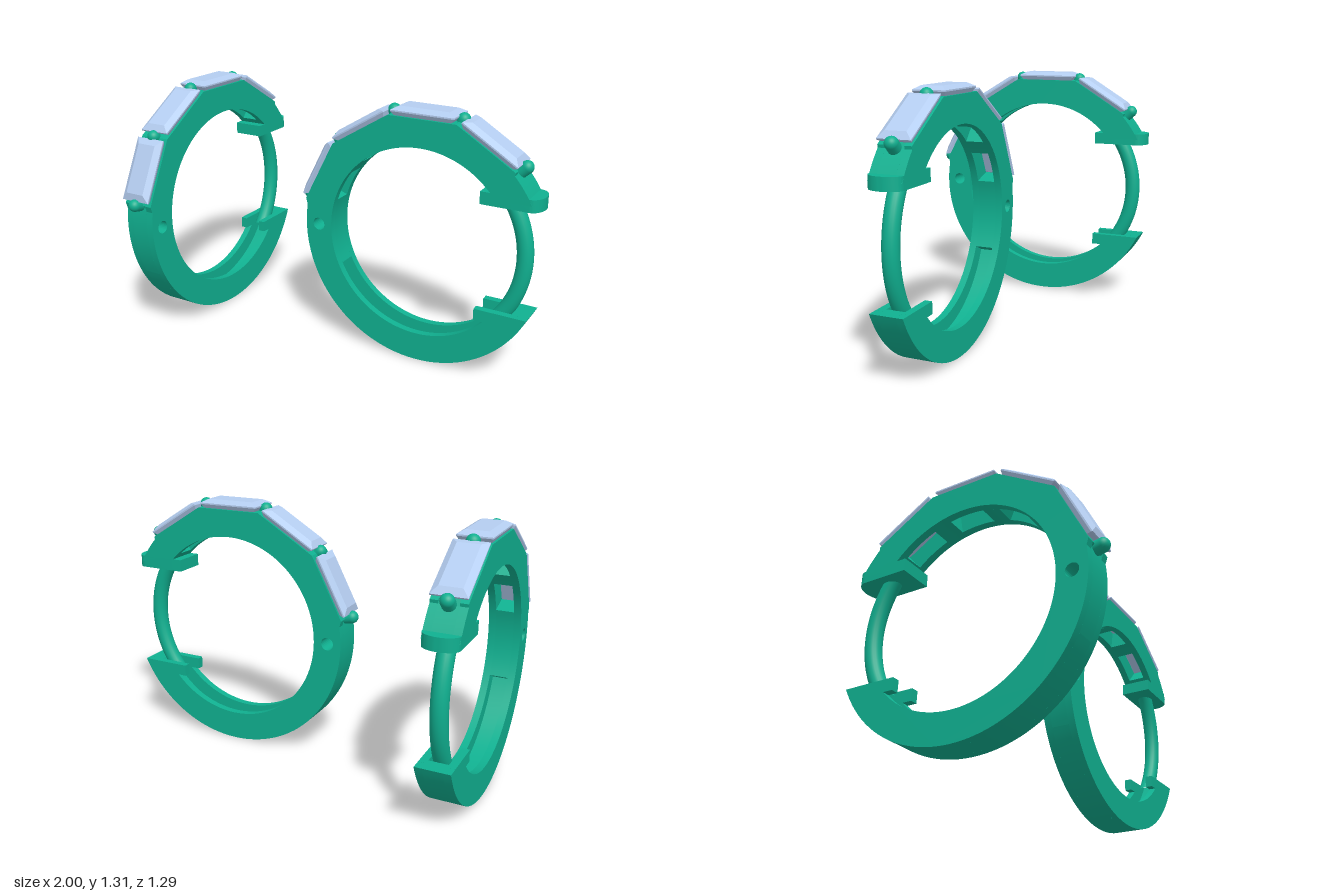
import * as THREE from 'three';
import { toCreasedNormals } from 'three/addons/utils/BufferGeometryUtils.js';
import { ConvexGeometry } from 'three/addons/geometries/ConvexGeometry.js';

const CY = 0.635;            // height of the hoop centre
const RI = 0.487, RO = 0.635; // inner and outer hoop radius
const HALF = 0.0825;         // half the hoop width
const SLOT = 0.046;          // half the width of windows and groove
const STEP = 31.55, GEMS = [0, 1, 2, 3].map(i => 58.1 + i * STEP);
const PRONGS = [0, 1, 2, 3, 4].map(i => 42.3 + i * STEP);
const rad = THREE.MathUtils.degToRad;

const metal = new THREE.MeshStandardMaterial({ color: 0x10b090 });
const stone = new THREE.MeshStandardMaterial({ color: 0xb4cdf0 });

function add(parent, name, geometry, material = metal) {
  const mesh = new THREE.Mesh(geometry, material);
  mesh.name = name;
  parent.add(mesh);
  return mesh;
}

// Outer radius: flats under the stones, round elsewhere
function outer(a) {
  for (const g of GEMS) if (Math.abs(a - g) <= STEP / 2 + 0.01) return 0.625 / Math.cos(rad(a - g));
  return RO;
}

// Part of the hoop between two angles, with its own angles on the inner edge
function arcShape(a0, a1, i0 = a0, i1 = a1, inner = RI) {
  const at = (a, r) => new THREE.Vector2(r * Math.cos(rad(a)), CY + r * Math.sin(rad(a)));
  const stops = (from, to) => {
    const n = Math.ceil((to - from) / 3);
    return Array.from({ length: n + 1 }, (_, i) => from + (to - from) * i / n);
  };
  const out = [...stops(a0, a1), ...PRONGS.filter(p => p > a0 && p < a1)].sort((p, q) => p - q);
  const shape = new THREE.Shape([
    ...out.map(a => at(a, outer(a))),
    ...stops(i0, i1).reverse().map(a => at(a, inner)),
  ]);
  if (a0 < 180 && a1 > 180) {  // hinge pin hole
    shape.holes.push(new THREE.Path().absarc(-0.561, CY, 0.033, 0, Math.PI * 2, true));
  }
  return shape;
}

function slab(shape, z0, z1) {
  const g = new THREE.ExtrudeGeometry(shape, { depth: z1 - z0, bevelEnabled: false, curveSegments: 14 });
  return toCreasedNormals(g.translate(0, 0, z0), 0.2);
}

function box(x0, x1, y0, y1, z0, z1) {
  return new THREE.BoxGeometry(x1 - x0, y1 - y0, z1 - z0)
    .translate((x0 + x1) / 2, (y0 + y1) / 2, (z0 + z1) / 2);
}

// Step-cut stone: height, half length, half width of each level
function gemGeometry() {
  const points = [];
  for (const [y, l, w] of [[0.57, 0.095, 0.0375], [0.63, 0.15, 0.074], [0.645, 0.1625, 0.0825],
    [0.652, 0.1625, 0.0825], [0.67, 0.1275, 0.0525]]) {
    for (const sx of [-1, 1]) for (const sz of [-1, 1]) points.push(new THREE.Vector3(sx * l, y, sz * w));
  }
  return new ConvexGeometry(points);
}

function createEarring() {
  const earring = new THREE.Group();

  // Side walls of the hoop, open at the clasp
  const wall = arcShape(28.2, 334.8, 38, 326.3);
  add(earring, 'hoopWallFront', slab(wall, SLOT, HALF));
  add(earring, 'hoopWallBack', slab(wall, -HALF, -SLOT));

  // Core between the walls: bridges leave windows under the stones
  const open = 10.5;
  add(earring, 'claspBridge', slab(arcShape(28.2, GEMS[0] - open, 38, GEMS[0] - open), -SLOT, SLOT));
  for (let i = 0; i < 3; i++) {
    add(earring, 'stoneBridge', slab(arcShape(GEMS[i] + open, GEMS[i + 1] - open), -SLOT, SLOT));
  }
  add(earring, 'hingeCore', slab(arcShape(GEMS[3] + open, 205), -SLOT, SLOT));
  // Thin outer band leaves a groove along the lower inside
  add(earring, 'grooveFloor', slab(arcShape(205, 334.8, 205, 331.2, 0.56), -SLOT, SLOT));

  // Upper clasp tab with a rounded thumb end
  const tab = new THREE.Shape();
  tab.moveTo(0.31, -HALF);
  tab.lineTo(0.545, -HALF);
  tab.absellipse(0.545, 0, 0.056, HALF, -Math.PI / 2, Math.PI / 2, false);
  tab.lineTo(0.31, HALF);
  tab.closePath();
  const tabGeo = new THREE.ExtrudeGeometry(tab, { depth: 0.062, bevelEnabled: false, curveSegments: 14 });
  tabGeo.rotateX(-Math.PI / 2).translate(0, 0.903, 0);
  add(earring, 'upperClaspTab', toCreasedNormals(tabGeo, 0.5));

  // Lower clasp tab, split by the slot for the post
  add(earring, 'lowerClaspTabFront', box(0.31, 0.52, 0.305, 0.365, SLOT, HALF));
  add(earring, 'lowerClaspTabBack', box(0.31, 0.52, 0.305, 0.365, -HALF, -SLOT));

  // Curved ear post
  const post = add(earring, 'earPost', new THREE.TorusGeometry(0.521, 0.04, 20, 40, rad(76)));
  post.position.y = CY;
  post.rotation.z = rad(-40);

  // Stones
  const gem = gemGeometry();
  for (const a of GEMS) {
    const m = add(earring, 'stone', gem, stone);
    m.position.y = CY;
    m.rotation.z = rad(a - 90);
  }

  // Round-headed prongs between and beside the stones
  PRONGS.forEach((a, i) => {
    const top = i === 0 || i === 4 ? 0.704 : 0.69;
    const prong = add(earring, 'prong',
      new THREE.CapsuleGeometry(0.032, 0.06, 8, 20).translate(0, top - 0.062, 0));
    prong.position.y = CY;
    prong.rotation.z = rad(a - 90);
  });
  return earring;
}

export function createModel() {
  const model = new THREE.Group();
  model.name = 'hoopEarrings';

  const sideOn = createEarring();
  sideOn.name = 'leftEarring';
  sideOn.position.x = 0.397;

  const edgeOn = createEarring();
  edgeOn.name = 'rightEarring';
  edgeOn.position.set(-0.9165, 0, -0.042);
  edgeOn.rotation.y = Math.PI / 2;

  model.add(sideOn, edgeOn);
  return model;
}
